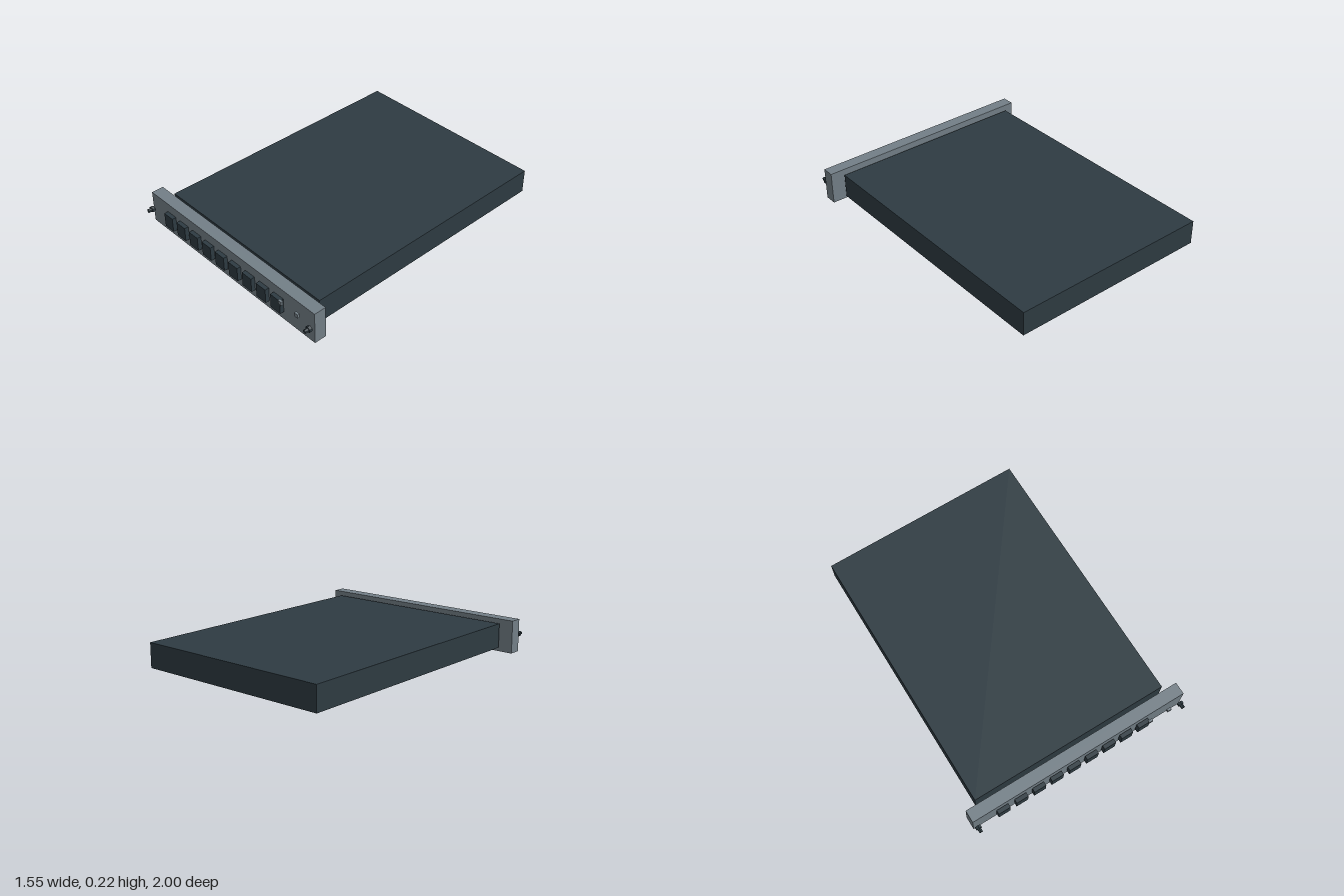
import * as THREE from 'three';

const darkSlate = new THREE.MeshStandardMaterial({ name: 'dark slate', color: 0x2e3b42 });
const steelGrey = new THREE.MeshStandardMaterial({ name: 'steel grey', color: 0x737f87 });

// Box given by its minimum and maximum corners
function box(name, material, [x0, y0, z0], [x1, y1, z1]) {
  const mesh = new THREE.Mesh(new THREE.BoxGeometry(x1 - x0, y1 - y0, z1 - z0), material);
  mesh.position.set((x0 + x1) / 2, (y0 + y1) / 2, (z0 + z1) / 2);
  mesh.name = name;
  return mesh;
}

// Hexagonal prism along z
function hexPrism(name, radius, z0, z1) {
  const geometry = new THREE.CylinderGeometry(radius, radius, z1 - z0, 6).toNonIndexed();
  geometry.rotateX(Math.PI / 2);
  geometry.computeVertexNormals();
  const mesh = new THREE.Mesh(geometry, darkSlate);
  mesh.position.z = (z0 + z1) / 2;
  mesh.name = name;
  return mesh;
}

export function createModel() {
  const model = new THREE.Group();
  model.name = 'rackUnit';

  // Chassis and the front panel set just ahead of it
  model.add(box('chassis', darkSlate, [-0.69, 0.033, -1], [0.69, 0.198, 0.828]));
  model.add(box('frontPanel', steelGrey, [-0.773, 0, 0.858], [0.773, 0.222, 0.941]));

  // Row of nine buttons
  for (let i = 0; i < 9; i++) {
    const x = -0.565 + i * 0.129;
    model.add(box('button', darkSlate, [x - 0.042, 0.063, 0.944], [x + 0.042, 0.162, 0.972]));
  }

  // Two small indicator lamps
  for (const x of [0.513, 0.654]) {
    model.add(box('indicator', steelGrey, [x - 0.014, 0.141, 0.961], [x + 0.014, 0.168, 0.977]));
  }

  // Stepped thumbscrews at both ends
  for (const side of [-1, 1]) {
    const screw = new THREE.Group();
    screw.name = side > 0 ? 'leftThumbscrew' : 'rightThumbscrew';
    screw.add(hexPrism('screwCollar', 0.021, 0.957, 0.976));
    screw.add(hexPrism('screwTip', 0.013, 0.976, 1));
    screw.position.set(side * 0.751, 0.112, 0);
    model.add(screw);
  }
  return model;
}
